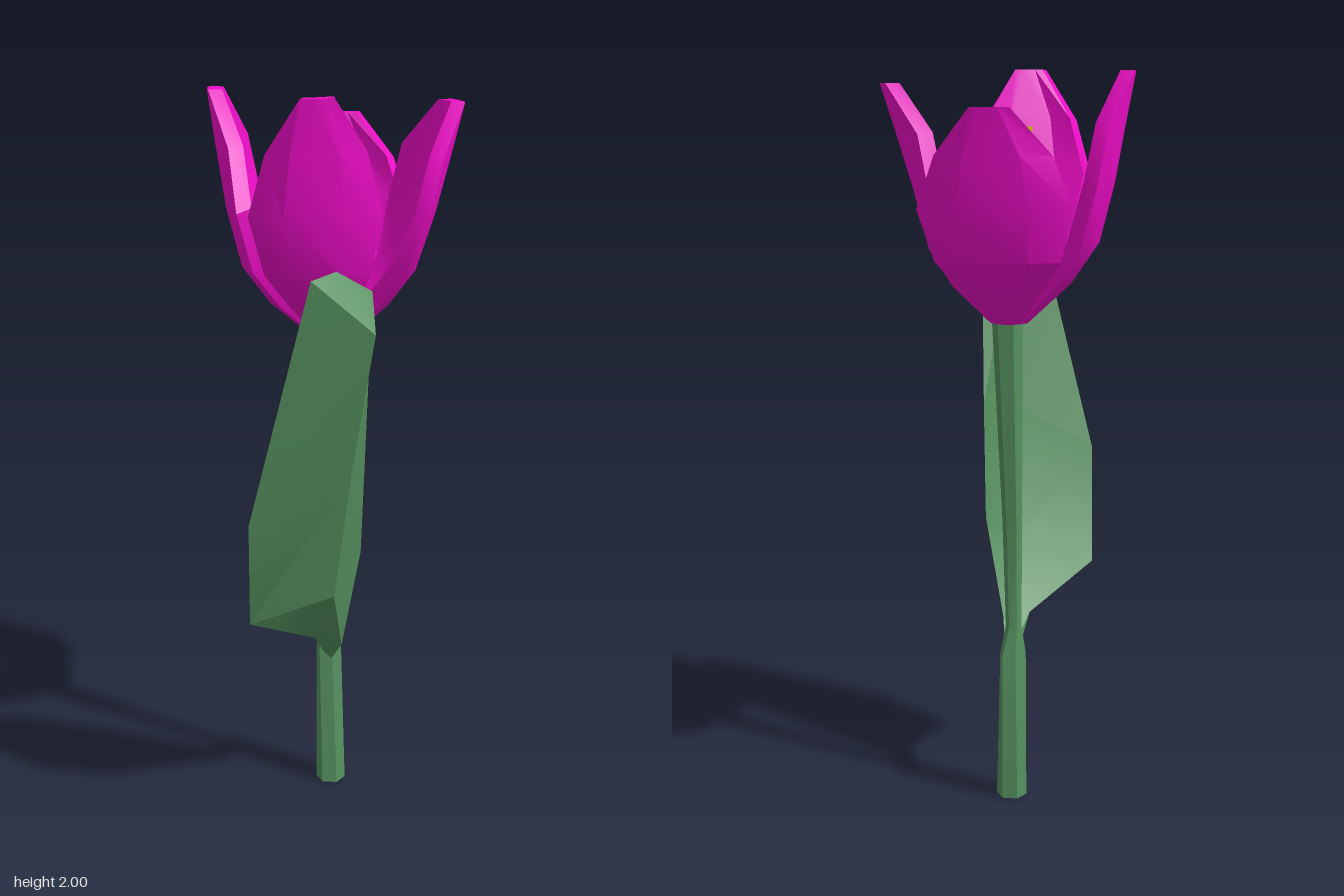
import * as THREE from 'three';
import { toCreasedNormals } from 'three/addons/utils/BufferGeometryUtils.js';

const CX = 0.04, CZ = -0.04; // axis of stem and flower

// Closed solid through rings of equally many (even) points, strip-capped at both ends
function loft(rings) {
  const n = rings[0].length, top = (rings.length - 1) * n;
  const pts = rings.flat(), faces = [];
  for (let r = 0; r < rings.length - 1; r++) {
    for (let i = 0; i < n; i++) {
      const a = r * n + i, b = r * n + (i + 1) % n;
      faces.push([a, b, b + n], [a, b + n, a + n]);
    }
  }
  for (let i = 0; i < n / 2 - 1; i++) {
    const j = n - 1 - i;
    for (const [a, b, c] of [[i, i + 1, j], [i + 1, j - 1, j]]) {
      faces.push([top + a, top + b, top + c], [c, b, a]);
    }
  }
  // Turn all faces outward whichever way the rings run
  const v = pts.map(p => new THREE.Vector3(...p));
  const volume = faces.reduce((s, [a, b, c]) => s + v[a].dot(v[b].clone().cross(v[c])), 0);
  if (volume < 0) faces.forEach(f => f.reverse());
  const geo = new THREE.BufferGeometry();
  geo.setAttribute('position', new THREE.Float32BufferAttribute(pts.flat(), 3));
  geo.setIndex(faces.flat());
  return toCreasedNormals(geo, 0.4);
}

// Regular ring around (x, z) with separate radii along x and z
function ring(sides, turn, x, y, z, rx, rz = rx) {
  return Array.from({ length: sides }, (_, i) => {
    const a = turn + i * 2 * Math.PI / sides;
    return [x + rx * Math.cos(a), y, z - rz * Math.sin(a)];
  });
}

// Rows of a petal: height, outward reach and half width of the middle, then of the edge
const PETAL = [
  [1.34, 0.05, 0.015, 0.035, 0.035],
  [1.44, 0.16, 0.05, 0.13, 0.1],
  [1.54, 0.23, 0.08, 0.195, 0.16],
  [1.69, 0.27, 0.09, 0.235, 0.195],
  [1.84, 0.3, 0.07, 0.262, 0.145],
  [1.97, 0.328, 0.02, 0.323, 0.048],
];

// skew turns the blade about its own middle, cup draws it inwards,
// sway and tipShift move its middle and its tip sideways
function petal({ angle, top, skew, width = 1, cup = 0, sway = 0, tipShift = 0 }) {
  const c = Math.cos(angle), s = Math.sin(angle);
  const place = (u, v, y) => [CX + c * u - s * v, y, CZ + s * u + c * v];
  const rings = PETAL.map(([y, mu, mv, eu, ev], r) => {
    const t = r / (PETAL.length - 1), bow = Math.sin(Math.PI * t);
    const h = 1.34 + (y - 1.34) * (top - 1.34) / 0.63;
    const shift = sway * bow + tipShift * t * t;
    const outer = [[eu, -ev], [mu, -mv], [mu, mv], [eu, ev]]
      .map(([u, v]) => [u - cup * bow + skew * t * v, v * width]);
    return [
      ...outer.map(([u, v]) => place(u, v + shift, h)),
      ...outer.reverse().map(([u, v]) => place(u - 0.036, v * 0.88 + shift, h + 0.03 * (1 - t))),
    ];
  });
  return loft(rings);
}

export function createModel() {
  const model = new THREE.Group();
  const green = new THREE.MeshStandardMaterial({ color: 0x56915f });
  const pink = new THREE.MeshStandardMaterial({ color: 0xf00cc8 });
  const yellow = new THREE.MeshStandardMaterial({ color: 0xd6c010 });
  const add = (parent, name, geometry, material) => {
    const mesh = new THREE.Mesh(geometry, material);
    mesh.name = name;
    parent.add(mesh);
  };

  // Six-sided stem, pinched just above the leaf joint
  add(model, 'stem', loft([
    [0.036, 0, -0.043, 0.042],
    [0.04, 0.42, -0.055, 0.042, 0.027],
    [0.034, 0.5, -0.05, 0.021, 0.023],
    [0.036, 0.8, -0.046, 0.026, 0.029],
    [0.042, 1.35, -0.033, 0.042],
  ].map(row => ring(6, Math.PI / 12, ...row))), green);

  // Leaf: left edge, outer keel, right edge; the inner crease lies behind the keel
  const leafRows = [
    [[0, 0.42, -0.03], [0.015, 0.4, -0.015], [0.05, 0.42, -0.03]],
    [[-0.07, 0.5, 0.015], [-0.015, 0.48, 0.065], [0.018, 0.5, 0.02]],
    [[-0.3, 0.61, 0.02], [-0.11, 0.68, 0.145], [0.01, 0.77, 0.115]],
    [[-0.36, 0.93, 0.1], [-0.125, 1.05, 0.23], [-0.02, 1.08, 0.165]],
    [[-0.27, 1.58, 0.245], [-0.13, 1.44, 0.325], [-0.08, 1.53, 0.255]],
  ];
  const creases = [[0.02, 0.44, -0.04], [-0.025, 0.52, 0.03], [-0.12, 0.71, 0.12],
    [-0.14, 1.07, 0.19], [-0.18, 1.59, 0.235]];
  add(model, 'leaf', loft(leafRows.map((row, i) => [...row, creases[i]])), green);

  // Four cupped petals on the diagonals
  const flower = new THREE.Group();
  flower.name = 'flower';
  model.add(flower);
  const q = Math.PI / 4;
  const petals = {
    frontLeftPetal: { angle: q, top: 1.96, skew: 0.35, width: 0.88, cup: 0.02, tipShift: -0.05 },
    frontRightPetal: { angle: 3 * q, top: 2.0, skew: 0.4, width: 0.84, sway: 0.02, tipShift: 0.01 },
    backRightPetal: { angle: 5 * q, top: 1.99, skew: 0.08, width: 0.92, sway: -0.035, tipShift: 0.02 },
    backLeftPetal: { angle: 7 * q, top: 1.9, skew: 0.12, cup: -0.005 },
  };
  for (const [name, spec] of Object.entries(petals)) add(flower, name, petal(spec), pink);

  // Bent four-sided stamens
  const stamens = [
    [[0.035, 1.37, -0.04], [0.015, 1.55, -0.045], [0.02, 1.85, -0.075]],
    [[0.045, 1.37, -0.04], [0.055, 1.6, -0.03], [0.07, 1.78, -0.02]],
    [[0.04, 1.37, -0.03], [0.01, 1.53, -0.01], [0.03, 1.67, 0.02]],
  ];
  for (const path of stamens) {
    add(flower, 'stamen', loft(path.map(([x, y, z], i) => ring(4, q, x, y, z, 0.015 + 0.004 * i))), yellow);
  }
  return model;
}
